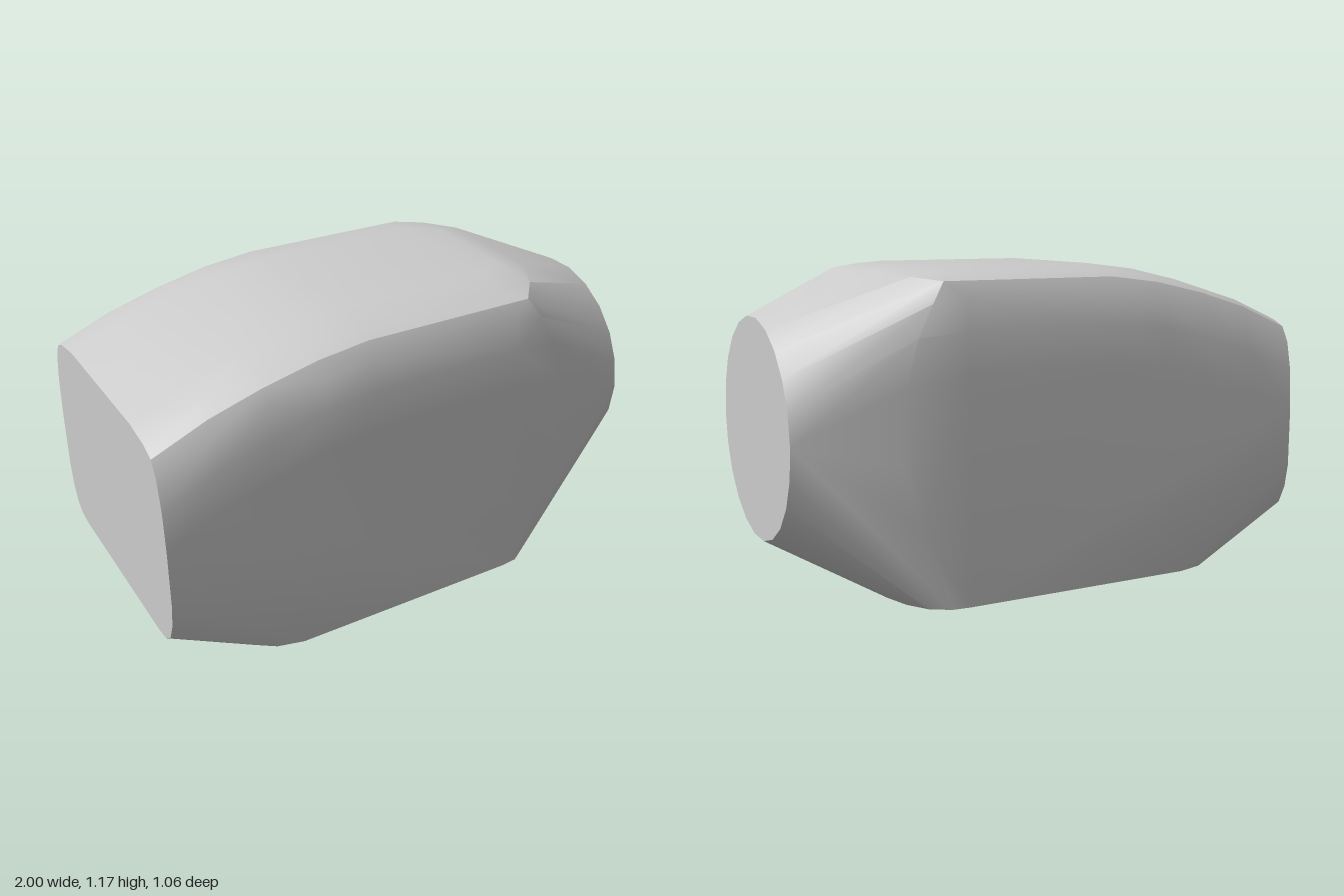
import * as THREE from 'three';
import { ConvexGeometry } from 'three/addons/geometries/ConvexGeometry.js';
import { toCreasedNormals } from 'three/addons/utils/BufferGeometryUtils.js';

export function createModel() {
  const points = [];
  // add a point on both sides of the lengthwise mirror plane
  const add = (x, y, z) => {
    for (const s of [1, -1]) points.push(new THREE.Vector3(x, y, s * z));
  };
  // the flat sides taper gently towards the round end
  const sideZ = (x) => 0.517 - 0.013 * x;

  // round end cap
  const sides = 22;
  for (let i = 0; i <= sides / 2; i++) {
    const a = -Math.PI / 2 + ((i + 0.5) / sides) * Math.PI * 2;
    if (i < sides / 2) add(1, 0.603 + 0.402 * Math.sin(a), 0.402 * Math.cos(a));
  }
  add(1, 0.603, 0.402);

  // arched roof: [x, top height], with rounded shoulders below it
  const roof = [[-1, 0.96], [-0.8, 1.045], [-0.6, 1.105], [-0.4, 1.15], [-0.2, 1.175], [0.4, 1.175]];
  const shoulder = [[0.28, 0], [0.4, 0.018], [0.455, 0.042], [0.487, 0.1], [0.51, 0.21]];
  for (const [x, top] of roof) {
    for (const [z, drop] of shoulder) add(x, top - drop, z + (sideZ(x) - 0.517) * 0.8);
    add(x, top - 0.36, sideZ(x));
  }

  // shoulder turning in towards the round end
  add(0.47, 1.133, 0.455);
  add(0.52, 1.172, 0.2);
  add(0.55, 1.145, 0.36);
  add(0.62, 1.155, 0.22);
  add(0.52, 1.06, 0.48);
  add(0.58, 0.95, 0.495);
  add(0.63, 0.78, 0.502);
  add(0.635, 0.52, 0.502);
  add(0.58, 0.3, 0.508);

  // lower edge of the blunt end
  for (const [y, z] of [[0.165, 0.38], [0.175, 0.44], [0.21, 0.485], [0.28, 0.515], [0.37, 0.53]]) add(-1, y, z);

  // flat base with clipped corners
  const base = [[0.62, 0.28], [0.59, 0.38], [0.54, 0.46], [0.47, 0.505], [0.4, 0.512],
    [-0.5, 0.515], [-0.6, 0.49], [-0.67, 0.44], [-0.71, 0.34]];
  for (const [x, z] of base) add(x, 0, z);

  const geometry = toCreasedNormals(new ConvexGeometry(points), 0.45);
  const body = new THREE.Mesh(geometry, new THREE.MeshStandardMaterial({ color: 0xcccccc }));
  body.name = 'body';

  const group = new THREE.Group();
  group.name = 'roundedHull';
  group.add(body);
  return group;
}
